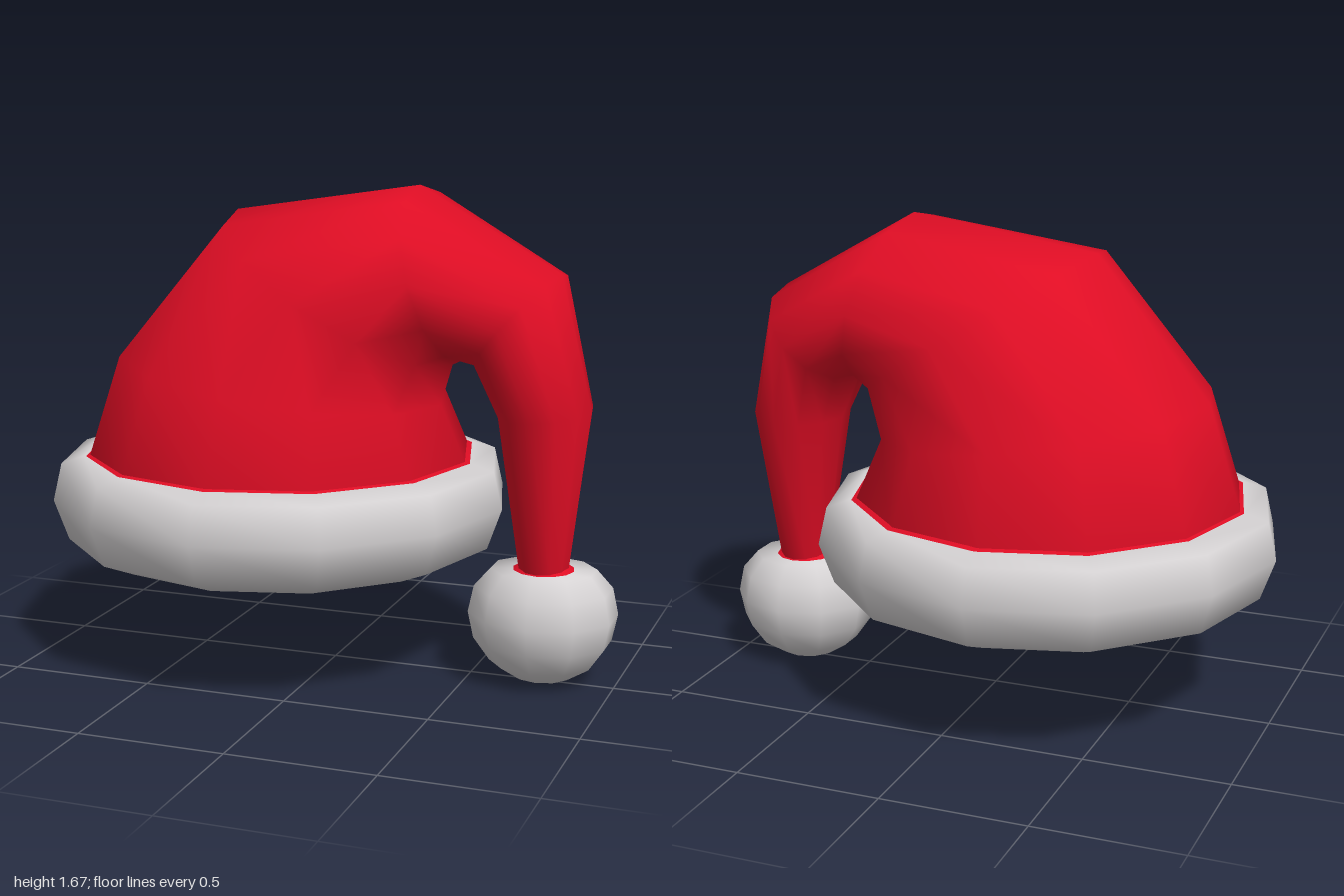
import * as THREE from 'three';

const SIDES = 12;

// Smooth tube through elliptical rings: [outerX, outerY, innerX, innerY, halfDepth]
function loft(rings) {
  const pos = [], index = [];
  rings.forEach(([ox, oy, ix, iy, depth], i) => {
    const mx = (ox + ix) / 2, my = (oy + iy) / 2;
    for (let j = 0; j < SIDES; j++) {
      const a = (j / SIDES) * Math.PI * 2, c = Math.cos(a);
      pos.push(mx + (ox - mx) * c, my + (oy - my) * c, Math.sin(a) * depth);
      if (i < rings.length - 1) {
        const k = (j + 1) % SIDES;
        const p = i * SIDES + j, q = i * SIDES + k;
        index.push(p, q, p + SIDES, q, q + SIDES, p + SIDES);
      }
    }
  });
  const g = new THREE.BufferGeometry();
  g.setAttribute('position', new THREE.Float32BufferAttribute(pos, 3));
  g.setIndex(index);
  g.computeVertexNormals();
  return g;
}

const lathe = (points) =>
  new THREE.LatheGeometry(points.map(([r, y]) => new THREE.Vector2(r, y)), SIDES);

export function createModel() {
  const model = new THREE.Group();
  const red = new THREE.MeshStandardMaterial({ color: 0xdf0d24, side: THREE.DoubleSide });
  red.name = 'red felt';
  const white = new THREE.MeshStandardMaterial({ color: 0xd6d3d4, side: THREE.DoubleSide });
  white.name = 'white fleece';

  const add = (name, geometry, material, x = 0, y = 0) => {
    const mesh = new THREE.Mesh(geometry, material);
    mesh.name = name;
    mesh.position.set(x, y, 0);
    model.add(mesh);
    return mesh;
  };

  // Hollow cloth body, folding over into the hanging tail
  add('hatBody', loft([
    [-0.79, 0.42, 0.39, 0.42, 0.59],
    [-0.88, 0.72, 0.48, 0.72, 0.675],
    [-0.76, 1.10, 0.38, 0.94, 0.575],
    [-0.36, 1.58, 0.42, 1.08, 0.5],
    [0.30, 1.68, 0.46, 1.10, 0.39],
    [0.79, 1.40, 0.52, 1.09, 0.315],
    [0.90, 0.95, 0.59, 0.93, 0.225],
    [0.835, 0.40, 0.665, 0.40, 0.1],
  ]), red);

  // Thick rounded brim
  add('brim', lathe([
    [0.6, 0.43], [0.63, 0.4], [0.75, 0.45], [0.8, 0.59],
    [0.77, 0.72], [0.69, 0.745], [0.64, 0.72],
  ]), white, -0.2);

  // Narrow cloth seams where the red meets the white
  add('upperSeam', lathe([[0.7, 0.738], [0.66, 0.75]]), red, -0.2);
  add('lowerSeam', lathe([[0.58, 0.43], [0.61, 0.412]]), red, -0.2);
  add('tailSeam', lathe([[0.105, 0.4], [0.08, 0.415]]), red, 0.75);

  // Pompom at the end of the tail
  const ball = new THREE.SphereGeometry(0.24, 10, 8);
  ball.rotateY(Math.PI / 10);
  const pompom = add('pompom', ball, white, 0.75, 0.245);
  pompom.scale.set(1.07, 1, 0.97);
  // Flattened top where the tail enters
  const p = ball.attributes.position;
  for (let i = 0; i < p.count; i++) p.setY(i, Math.min(p.getY(i), 0.155));
  ball.computeBoundingSphere();

  return model;
}
